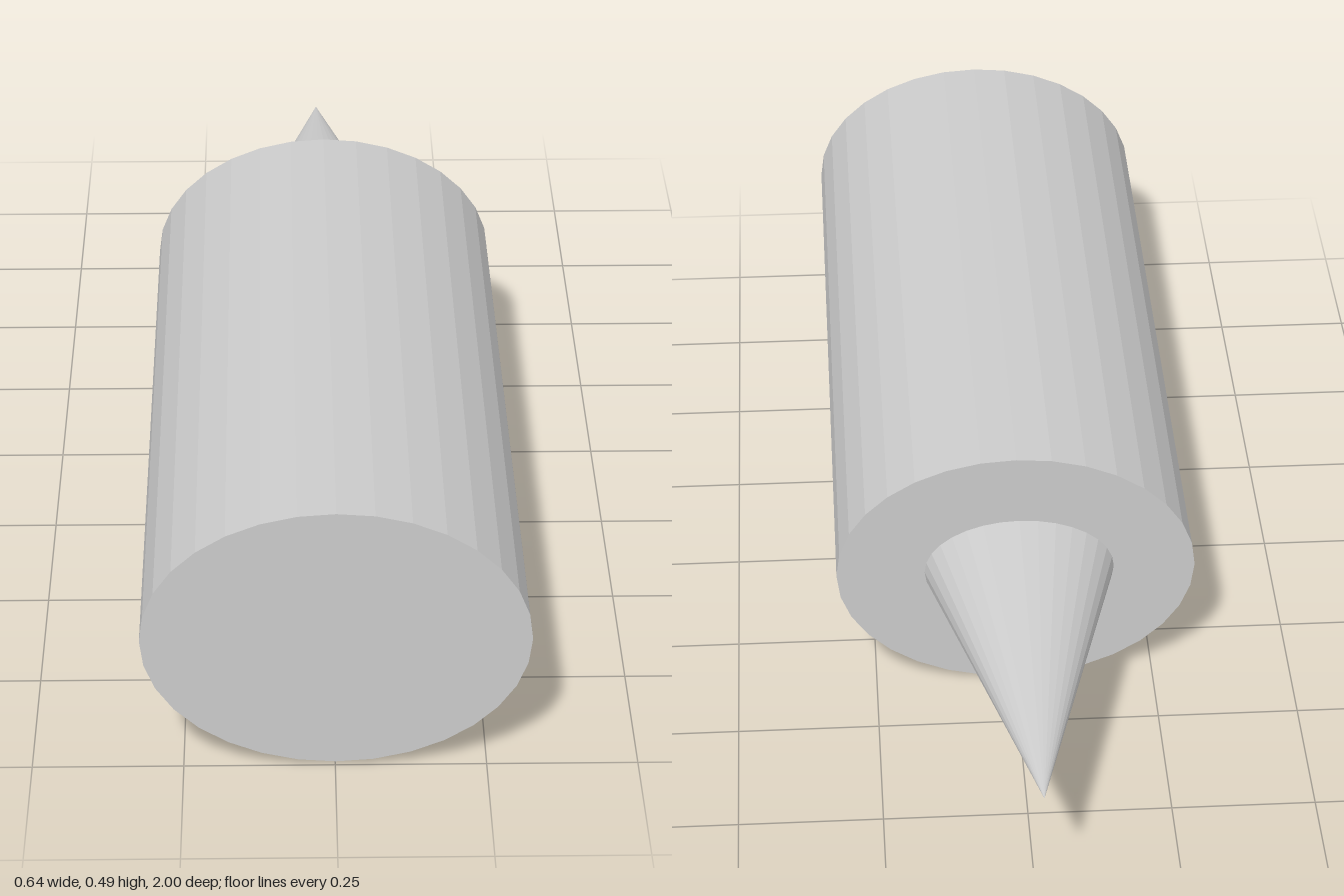
import * as THREE from 'three';

const material = new THREE.MeshStandardMaterial({ color: 0xcccccc, flatShading: true });

// Elliptical 32-sided solid from a back centre to a front centre, end faces square to z
function ellipticPart(name, geometry, rx, ry, back, front) {
  geometry.rotateX(Math.PI / 2); // unit height now runs along z
  const p = geometry.attributes.position;
  const c = new THREE.Vector3();
  for (let i = 0; i < p.count; i++) {
    c.lerpVectors(back, front, p.getZ(i) + 0.5);
    p.setXYZ(i, c.x + p.getX(i) * rx, c.y + p.getY(i) * ry, c.z);
  }
  geometry.computeVertexNormals();
  const mesh = new THREE.Mesh(geometry, material);
  mesh.name = name;
  return mesh;
}

export function createModel() {
  const group = new THREE.Group();
  group.name = 'spikedCylinder';

  // Slightly tilted oval barrel
  group.add(ellipticPart('barrel', new THREE.CylinderGeometry(1, 1, 1, 32),
    0.319, 0.24,
    new THREE.Vector3(-0.002, 0.24, -0.37), new THREE.Vector3(0.001, 0.247, 1)));

  // Pointed tip on the back end (narrow end towards -z)
  group.add(ellipticPart('spike', new THREE.CylinderGeometry(1, 0, 1, 32),
    0.169, 0.107,
    new THREE.Vector3(-0.01, 0.25, -1), new THREE.Vector3(-0.008, 0.242, -0.368)));

  return group;
}
